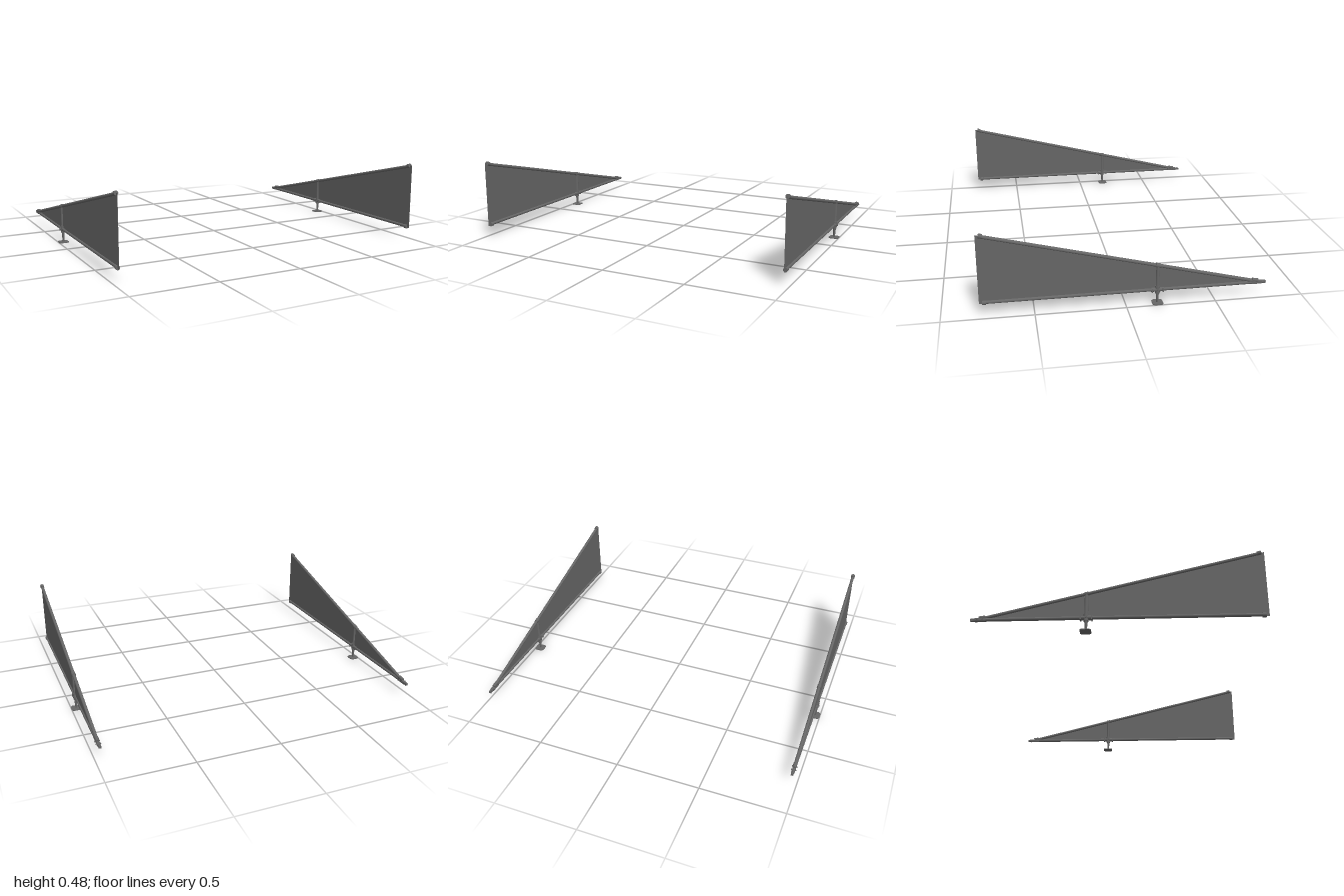
import * as THREE from 'three';

const material = new THREE.MeshStandardMaterial({ color: 0x666666, side: THREE.DoubleSide });

function add(group, name, geometry, x = 0, y = 0, z = 0) {
  const mesh = new THREE.Mesh(geometry, material);
  mesh.name = name;
  mesh.position.set(x, y, z);
  group.add(mesh);
  return mesh;
}

// Round bar between two points in the side plane, given as [z, y]
function bar(group, name, [z0, y0], [z1, y1], radius) {
  const a = new THREE.Vector3(0, y0, z0);
  const b = new THREE.Vector3(0, y1, z1);
  const dir = b.clone().sub(a);
  const mesh = add(group, name, new THREE.CylinderGeometry(radius, radius, dir.length(), 16));
  mesh.position.copy(a).add(b).multiplyScalar(0.5);
  mesh.quaternion.setFromUnitVectors(new THREE.Vector3(0, 1, 0), dir.normalize());
  return mesh;
}

// Flat plate cut from a side outline of [z, y] points
function plate(group, name, points, thickness) {
  const shape = new THREE.Shape(points.map(([z, y]) => new THREE.Vector2(z, y)));
  const geometry = new THREE.ExtrudeGeometry(shape, { depth: thickness, bevelEnabled: false });
  geometry.translate(0, 0, -thickness / 2).rotateY(-Math.PI / 2);
  return add(group, name, geometry);
}

function createSidePanel() {
  const panel = new THREE.Group();
  const postZ = -0.175;
  const railY = (z) => 0.466 + (z - 0.77) * 0.25;

  // Tapering sheet
  plate(panel, 'sheet', [[0.793, 0.075], [0.793, 0.474], [-0.74, 0.088], [-0.78, 0.078]], 0.002);

  // Sloping and level rails with swivel collars at the tall end
  bar(panel, 'topRail', [0.775, railY(0.775)], [-0.74, railY(-0.74)], 0.0095);
  bar(panel, 'bottomRail', [0.775, 0.083], [-0.78, 0.083], 0.0095);
  bar(panel, 'topRailCap', [0.776, railY(0.776) + 0.003], [0.756, railY(0.756) + 0.003], 0.0125);
  bar(panel, 'bottomRailCap', [0.776, 0.081], [0.756, 0.081], 0.0125);

  // Joint at the pointed end
  bar(panel, 'tipSleeve', [-0.715, 0.099], [-0.748, 0.094], 0.0105);
  add(panel, 'tipBlock', new THREE.BoxGeometry(0.018, 0.016, 0.06), 0, 0.083, -0.74);
  add(panel, 'tipTongue', new THREE.BoxGeometry(0.014, 0.014, 0.035), 0, 0.082, -0.776);
  for (const z of [-0.73, -0.757]) {
    const pin = add(panel, 'tipPin', new THREE.CylinderGeometry(0.004, 0.004, 0.03, 10), 0, 0.085, z);
    pin.rotation.z = Math.PI / 2;
  }

  // Upright post, with a collar under the sloping rail
  bar(panel, 'post', [postZ, 0.07], [postZ, railY(postZ)], 0.0105);
  bar(panel, 'postCollar', [postZ + 0.012, railY(postZ) + 0.003], [postZ - 0.012, railY(postZ) - 0.003], 0.0125);

  // Cross joint around the level rail, with flanges and a bolt
  bar(panel, 'jointSleeve', [postZ + 0.035, 0.083], [postZ - 0.035, 0.083], 0.0125);
  bar(panel, 'jointHub', [postZ, 0.062], [postZ, 0.106], 0.0135);
  for (const side of [-1, 1]) {
    add(panel, 'jointFlange', new THREE.BoxGeometry(0.026, 0.022, 0.006), 0, 0.081, postZ + side * 0.03);
  }
  const bolt = add(panel, 'jointBolt', new THREE.CylinderGeometry(0.005, 0.005, 0.036, 10), 0, 0.083, postZ);
  bolt.rotation.z = Math.PI / 2;

  // Levelling foot: tapered stem on a chamfered pad
  add(panel, 'footStem', new THREE.CylinderGeometry(0.0095, 0.005, 0.062, 16), 0, 0.036, postZ);
  const c = 0.03;
  const k = 0.02;
  const pad = new THREE.Shape(
    [[c, k], [k, c], [-k, c], [-c, k], [-c, -k], [-k, -c], [k, -c], [c, -k]].map(([x, y]) => new THREE.Vector2(x, y))
  );
  const padGeometry = new THREE.ExtrudeGeometry(pad, { depth: 0.005, bevelEnabled: false }).rotateX(-Math.PI / 2);
  add(panel, 'footPad', padGeometry, 0, 0, postZ - 0.002);

  return panel;
}

export function createModel() {
  const model = new THREE.Group();
  model.name = 'sidePanels';
  for (const side of [-1, 1]) {
    const panel = createSidePanel();
    panel.name = side > 0 ? 'leftPanel' : 'rightPanel';
    panel.position.x = side * 0.97;
    model.add(panel);
  }
  return model;
}
